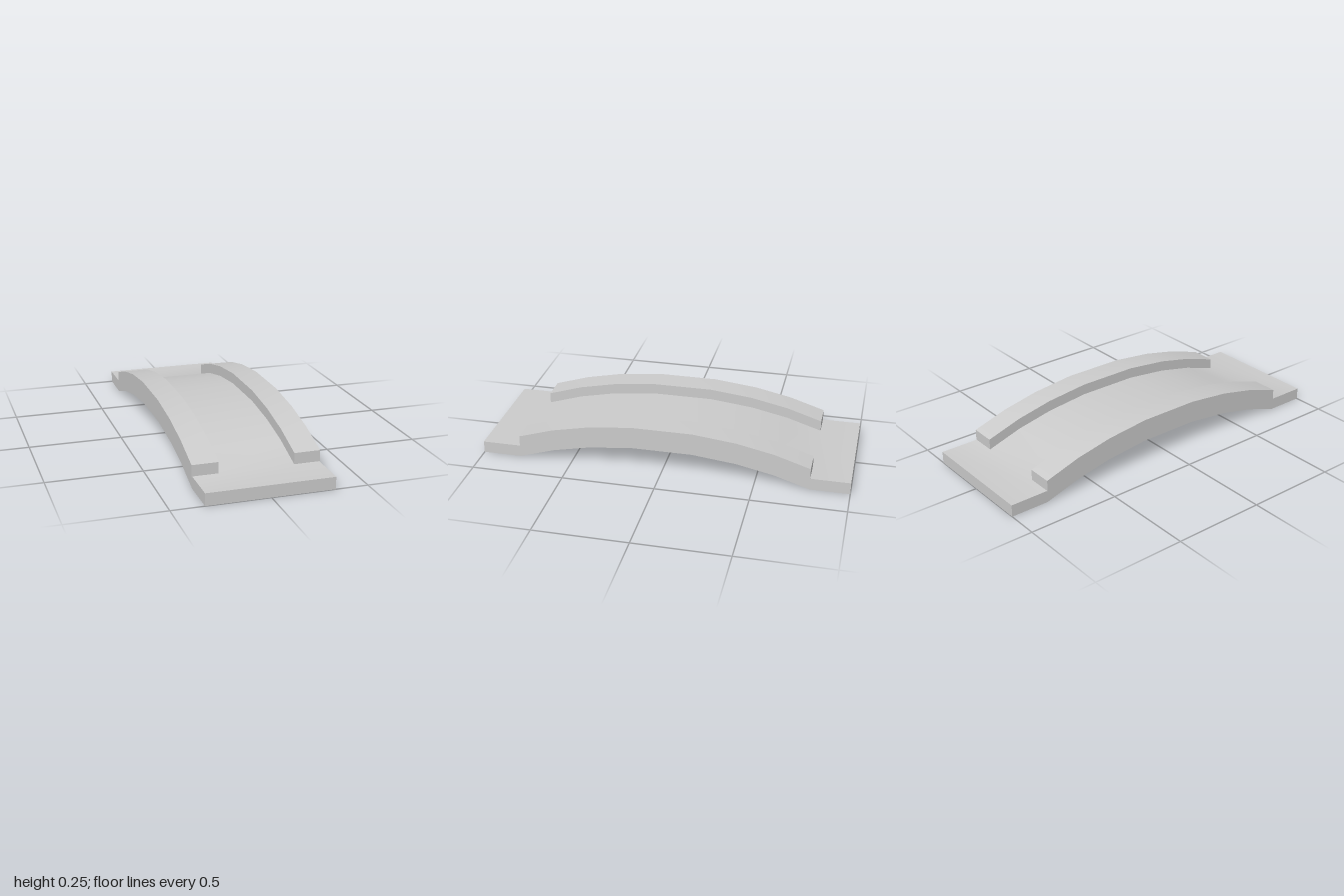
import * as THREE from 'three';
import { toCreasedNormals } from 'three/addons/utils/BufferGeometryUtils.js';

// Underside of the arch, as [z, y], from the middle to the foot
const ARCH = [[0.165, 0.128], [0.4, 0.102], [0.6, 0.06], [0.79, 0]];
const FOOT = [1, 0];

// Full symmetric curve from -z to +z, raised by dy
function curve(half, dy) {
  const back = half.map(([z, y]) => [-z, y]).reverse();
  return [...back, ...half].map(([z, y]) => new THREE.Vector2(z, y + dy));
}

// Band between two heights above the curve, swept across x
function band(half, low, high, width, material, name) {
  const outline = [...curve(half, low), ...curve(half, high).reverse()];
  const geometry = new THREE.ExtrudeGeometry(new THREE.Shape(outline), { depth: width, bevelEnabled: false });
  geometry.translate(0, 0, -width / 2);
  geometry.rotateY(Math.PI / 2);
  const mesh = new THREE.Mesh(toCreasedNormals(geometry, Math.PI / 6), material);
  mesh.name = name;
  return mesh;
}

export function createModel() {
  const model = new THREE.Group();
  model.name = 'archedBridge';
  const material = new THREE.MeshStandardMaterial({ color: 0xcccccc });

  // Arched deck with a flat landing at each end
  model.add(band([...ARCH, FOOT], 0, 0.065, 0.66, material, 'deck'));

  // Kerbs along both edges, slightly proud of the deck sides
  for (const side of [1, -1]) {
    const kerb = band(ARCH, 0.06, 0.124, 0.137, material, side > 0 ? 'leftKerb' : 'rightKerb');
    kerb.position.x = side * 0.2645;
    model.add(kerb);
  }
  return model;
}
